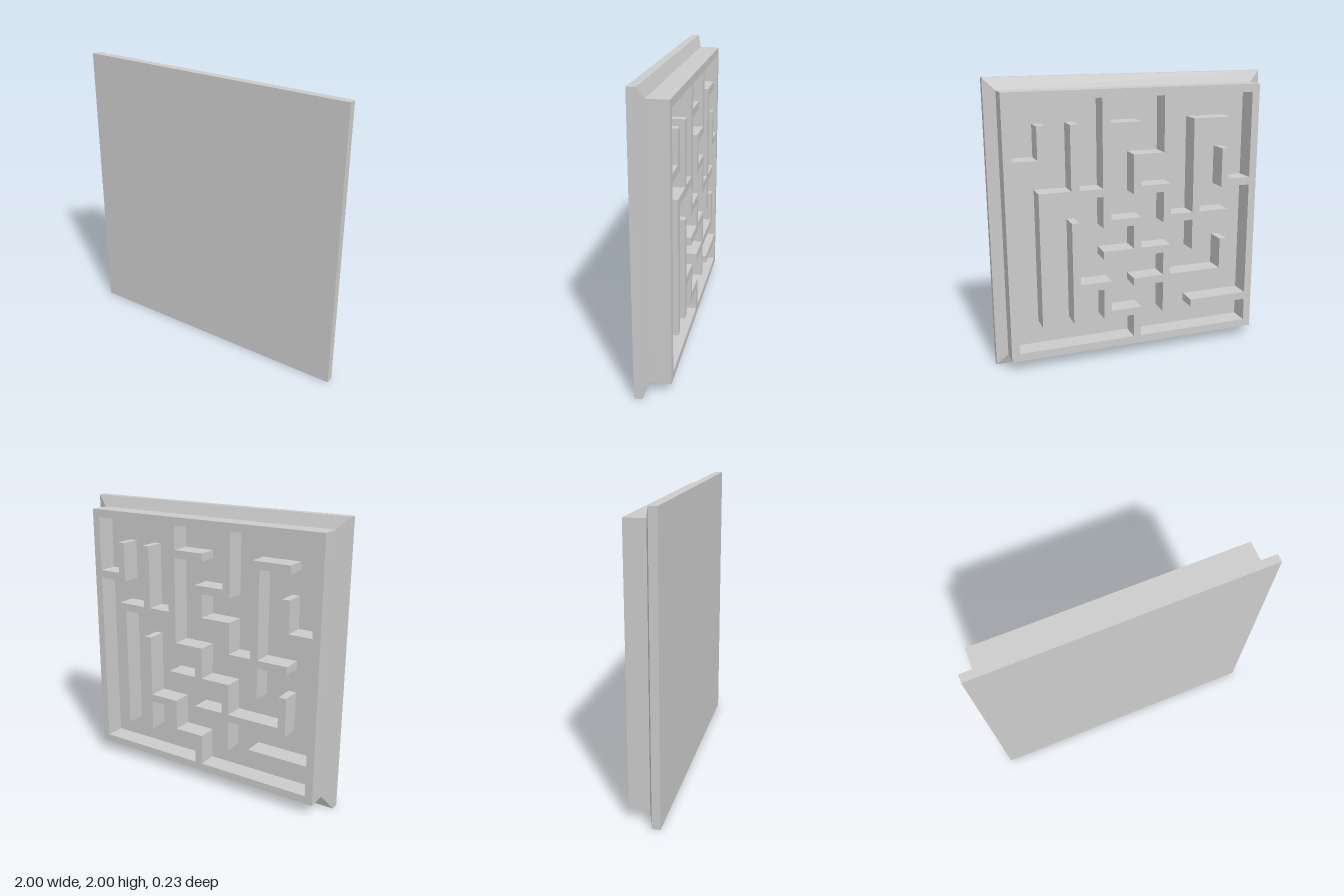
import * as THREE from 'three';

const HALF = 0.92;             // half width of the raised maze block
const PITCH = 2 * HALF / 8.25; // spacing of the 8 x 8 cell grid
const THICK = PITCH / 4;       // wall thickness
const FLOOR = 0.028;           // z of the maze floor
const BACK = -0.114;           // z of the wall tops

// Runs on grid lines 0..8, counted from the model's left (+x) and from the top.
// [row, first column, last column]
const horizontal = [
  [0, 0, 8], [8, 0, 8],
  [1, 3, 4], [1, 6, 7],
  [2, 0, 1], [2, 4, 5],
  [3, 1, 3], [3, 4, 5], [3, 7, 8],
  [4, 3, 4], [4, 5, 7],
  [5, 3, 5],
  [6, 2, 3], [6, 4, 7],
  [7, 3, 4], [7, 6, 8],
];
// [column, first row, last row]
const vertical = [
  [0, 0, 8], [8, 0, 8],
  [1, 1, 2], [1, 3, 7],
  [2, 1, 3], [2, 4, 7],
  [3, 0, 4], [3, 6, 7],
  [4, 2, 3], [4, 4, 5], [4, 7, 8],
  [5, 0, 2], [5, 3, 4], [5, 5, 7],
  [6, 1, 5],
  [7, 2, 3], [7, 5, 6],
];

export function createModel() {
  const model = new THREE.Group();
  model.name = 'mazePanel';
  const material = new THREE.MeshStandardMaterial({ color: 0xcccccc, flatShading: true });

  const add = (parent, name, geometry, x, y, z) => {
    const mesh = new THREE.Mesh(geometry, material);
    mesh.name = name;
    mesh.position.set(x, y, z);
    parent.add(mesh);
  };

  // Flat front plate
  add(model, 'frontPlate', new THREE.BoxGeometry(2, 2, 0.056), 0, 1, 0.086);

  // Bevelled step from the plate down to the maze floor
  const depth = 0.058 - FLOOR;
  const bevel = new THREE.CylinderGeometry(HALF * Math.SQRT2, Math.SQRT2, depth, 4);
  bevel.rotateY(Math.PI / 4).rotateX(-Math.PI / 2);
  add(model, 'bevel', bevel, 0, 1, FLOOR + depth / 2);

  // Border and maze walls, all raised toward the back
  const walls = new THREE.Group();
  walls.name = 'mazeWalls';
  model.add(walls);
  const addWall = (c0, r0, c1, r1) => {
    const border = (c0 === c1 && c0 % 8 === 0) || (r0 === r1 && r0 % 8 === 0);
    add(walls, border ? 'borderWall' : 'innerWall',
      new THREE.BoxGeometry((c1 - c0) * PITCH + THICK, (r1 - r0) * PITCH + THICK, FLOOR - BACK),
      (4 - (c0 + c1) / 2) * PITCH,
      1 + (4 - (r0 + r1) / 2) * PITCH,
      (FLOOR + BACK) / 2);
  };
  for (const [row, from, to] of horizontal) addWall(from, row, to, row);
  for (const [col, from, to] of vertical) addWall(col, from, col, to);

  return model;
}
